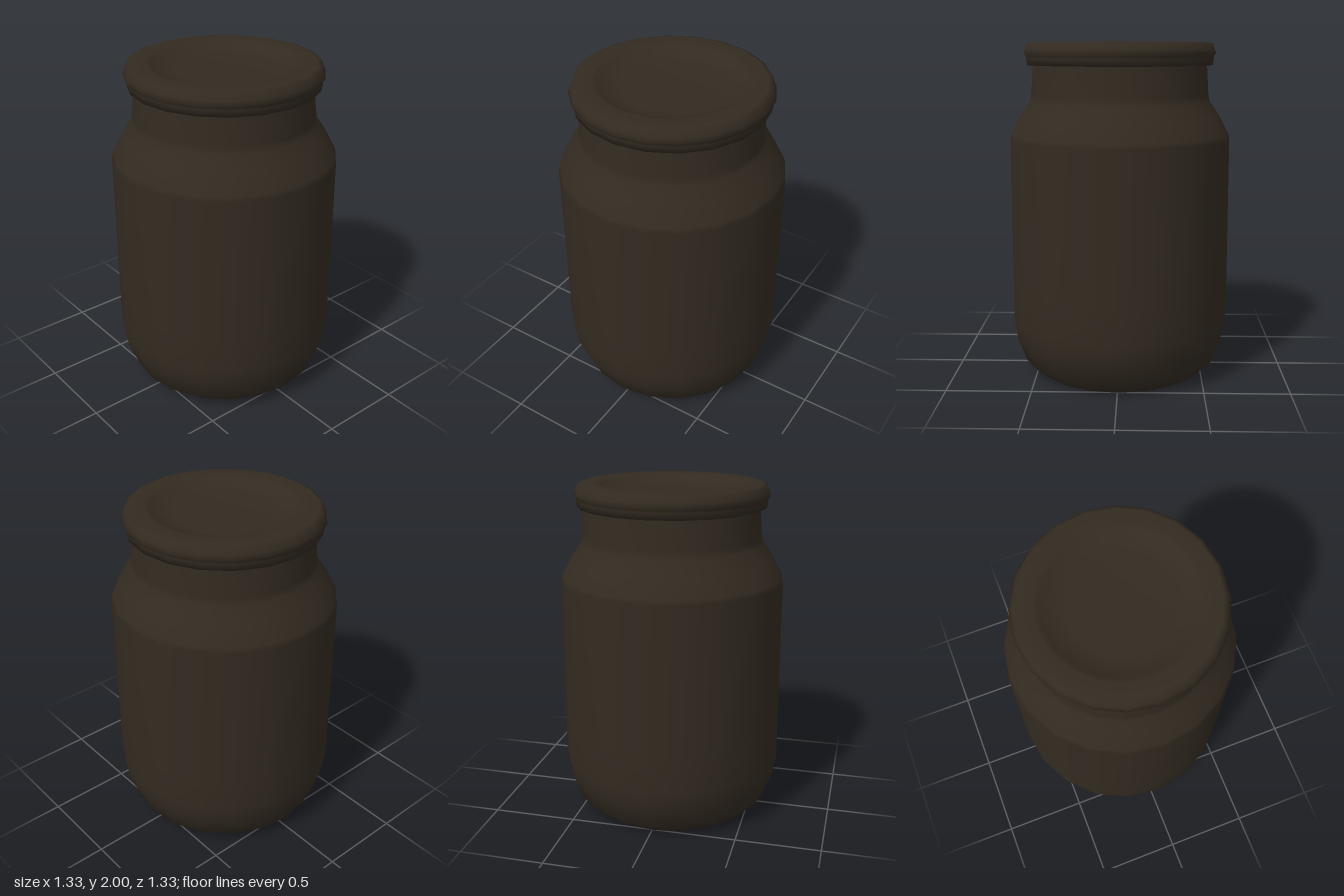
import * as THREE from 'three';

const SIDES = 20;

// Smooth turned part from [radius, height] pairs, listed from the bottom up
function turned(name, profile, material) {
  const points = profile.map(([r, y]) => new THREE.Vector2(r, y));
  const mesh = new THREE.Mesh(new THREE.LatheGeometry(points, SIDES), material);
  mesh.name = name;
  return mesh;
}

export function createModel() {
  const group = new THREE.Group();
  group.name = 'jar';
  const material = new THREE.MeshStandardMaterial({ color: 0x332b21 });

  // Rounded base, straight wall, shoulder and tapering neck
  group.add(turned('jarBody', [
    [0, 0], [0.505, 0], [0.59, 0.07], [0.645, 0.21], [0.665, 0.33],
    [0.665, 0.55], [0.663, 1.43], [0.653, 1.46], [0.595, 1.57],
    [0.54, 1.65], [0.532, 1.69], [0.52, 1.88],
  ], material));

  // Lid: skirt, beaded rim and a shallow dished top
  group.add(turned('lid', [
    [0.5, 1.865], [0.555, 1.865], [0.562, 1.905], [0.56, 1.915],
    [0.575, 1.935], [0.565, 1.955], [0.553, 1.99], [0.53, 1.998],
    [0.45, 2], [0.42, 1.99], [0.36, 1.955], [0.28, 1.945], [0, 1.945],
  ], material));

  return group;
}
